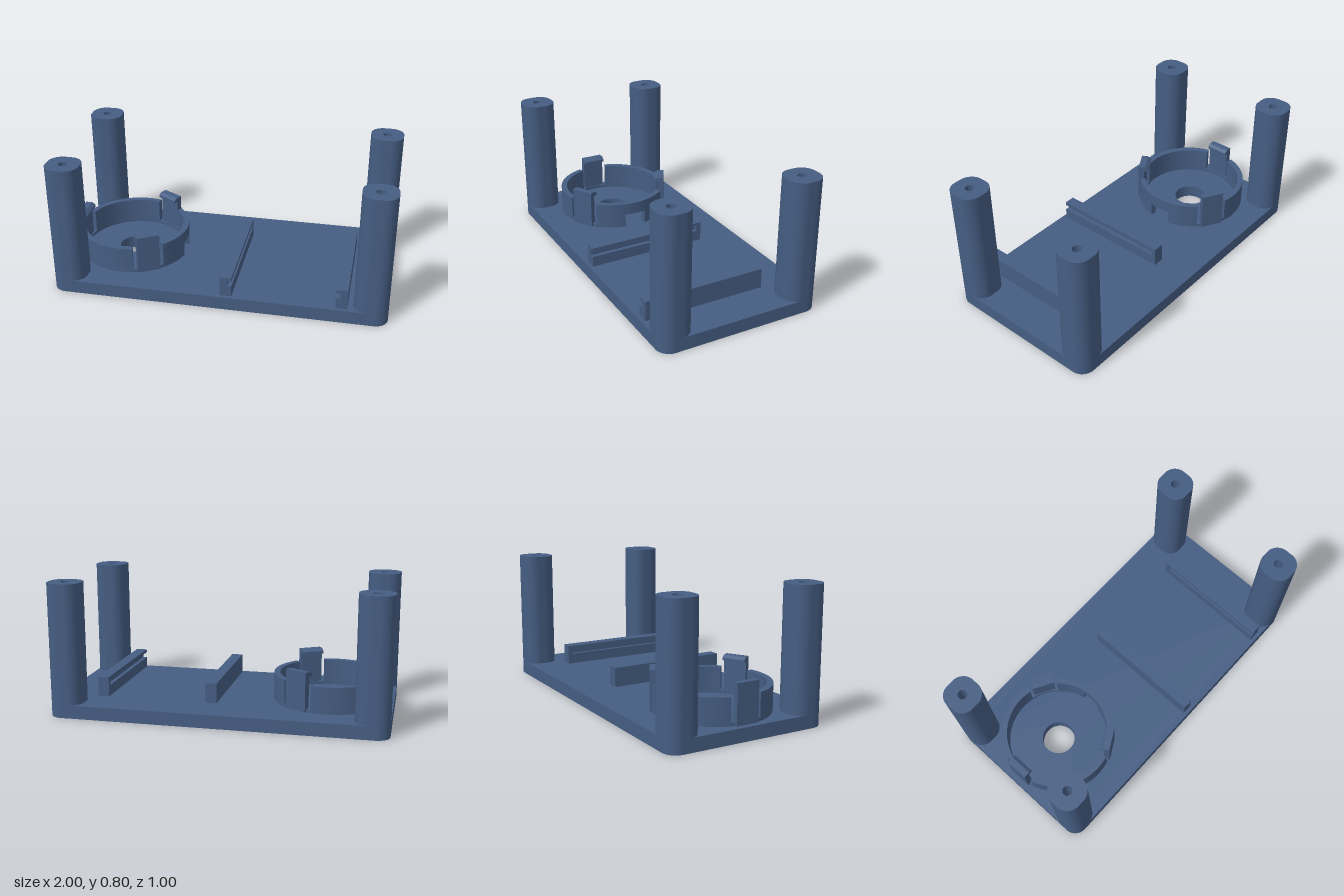
import * as THREE from 'three';
import { toCreasedNormals } from 'three/addons/utils/BufferGeometryUtils.js';

const navy = new THREE.MeshStandardMaterial({ color: 0x455d82 });
navy.name = 'navy blue plastic';

const PLATE_TOP = 0.08;
const RING_X = -0.62;

function addMesh(parent, name, geometry) {
  const mesh = new THREE.Mesh(toCreasedNormals(geometry, 0.6), navy);
  mesh.name = name;
  parent.add(mesh);
  return mesh;
}

// Extrude a floor-plan shape upwards from y0 to y1
function extrudeUp(shape, y0, y1) {
  const g = new THREE.ExtrudeGeometry(shape, { depth: y1 - y0, bevelEnabled: false, curveSegments: 32 });
  return g.rotateX(-Math.PI / 2).translate(0, y0, 0);
}

function roundedRect(hx, hy, r) {
  const s = new THREE.Shape();
  s.absarc(hx - r, hy - r, r, 0, Math.PI / 2);
  s.absarc(-hx + r, hy - r, r, Math.PI / 2, Math.PI);
  s.absarc(-hx + r, -hy + r, r, Math.PI, Math.PI * 1.5);
  s.absarc(hx - r, -hy + r, r, Math.PI * 1.5, Math.PI * 2);
  s.closePath();
  return s;
}

function addHole(shape, x, y, r) {
  shape.holes.push(new THREE.Path().absarc(x, y, r, 0, Math.PI * 2, true));
}

function ringArc(a0, a1) {
  const s = new THREE.Shape();
  s.absarc(0, 0, 0.342, a0, a1, false);
  s.absarc(0, 0, 0.306, a1, a0, true);
  s.closePath();
  return s;
}

function polygon(points) {
  return new THREE.Shape(points.map(([x, y]) => new THREE.Vector2(x, y)));
}

export function createModel() {
  const model = new THREE.Group();
  model.name = 'mountingBase';

  // Base plate with a round through hole
  const plate = roundedRect(1, 0.5, 0.08);
  addHole(plate, RING_X, 0, 0.1);
  addMesh(model, 'basePlate', extrudeUp(plate, 0, PLATE_TOP));

  // Corner posts with screw holes
  const post = roundedRect(0.1, 0.1, 0.08);
  addHole(post, 0, 0, 0.027);
  for (const sx of [-1, 1]) for (const sz of [-1, 1]) {
    addMesh(model, 'cornerPost', extrudeUp(post, PLATE_TOP, 0.8)).position.set(sx * 0.9, 0, sz * 0.4);
  }

  // Holder ring: low foot, wall sections between the clips, bridge over the cable slot
  const holder = new THREE.Group();
  holder.name = 'ringHolder';
  holder.position.x = RING_X;
  model.add(holder);
  const slot = 0.2, gap = 0.28, third = Math.PI / 3, full = Math.PI * 2;
  addMesh(holder, 'ringFoot', extrudeUp(ringArc(slot, full - slot), PLATE_TOP, 0.1));
  const walls = [
    [slot, third - gap], [third + gap, Math.PI - gap],
    [Math.PI + gap, full - third - gap], [full - third + gap, full - slot],
  ];
  for (const [a0, a1] of walls) addMesh(holder, 'ringWall', extrudeUp(ringArc(a0, a1), 0.1, 0.24));
  addMesh(holder, 'slotBridge', extrudeUp(ringArc(-slot, slot), 0.165, 0.24));

  // Three snap clips with inward hooks
  const clip = polygon([
    [0.31, 0.08], [0.345, 0.08], [0.345, 0.315], [0.305, 0.315],
    [0.285, 0.3], [0.285, 0.285], [0.31, 0.285],
  ]);
  for (const a of [third, Math.PI, -third]) {
    const g = new THREE.ExtrudeGeometry(clip, { depth: 0.14, bevelEnabled: false }).translate(0, 0, -0.07);
    addMesh(holder, 'snapClip', g).rotation.y = a;
  }

  // Two facing rails, grooved on the inside and closed at the back
  const back = -0.267, front = 0.477, stop = 0.03;
  for (const [x, side] of [[0.062, 1], [0.734, -1]]) {
    const rail = new THREE.Group();
    rail.name = side > 0 ? 'rightRail' : 'leftRail';
    rail.position.x = x;
    model.add(rail);
    const h = 0.034, d = 0.009;
    const profile = [
      [-h, PLATE_TOP], [h, PLATE_TOP], [h, 0.145], [d, 0.145],
      [d, 0.18], [h, 0.18], [h, 0.2], [-h, 0.2],
    ].map(([px, py]) => [px * side, py]);
    const g = new THREE.ExtrudeGeometry(polygon(profile), { depth: front - back - stop, bevelEnabled: false });
    addMesh(rail, 'groovedRail', g.translate(0, 0, back + stop));
    const end = new THREE.BoxGeometry(h * 2, 0.2 - PLATE_TOP, stop);
    addMesh(rail, 'railStop', end.translate(0, (0.2 + PLATE_TOP) / 2, back + stop / 2));
  }

  return model;
}
